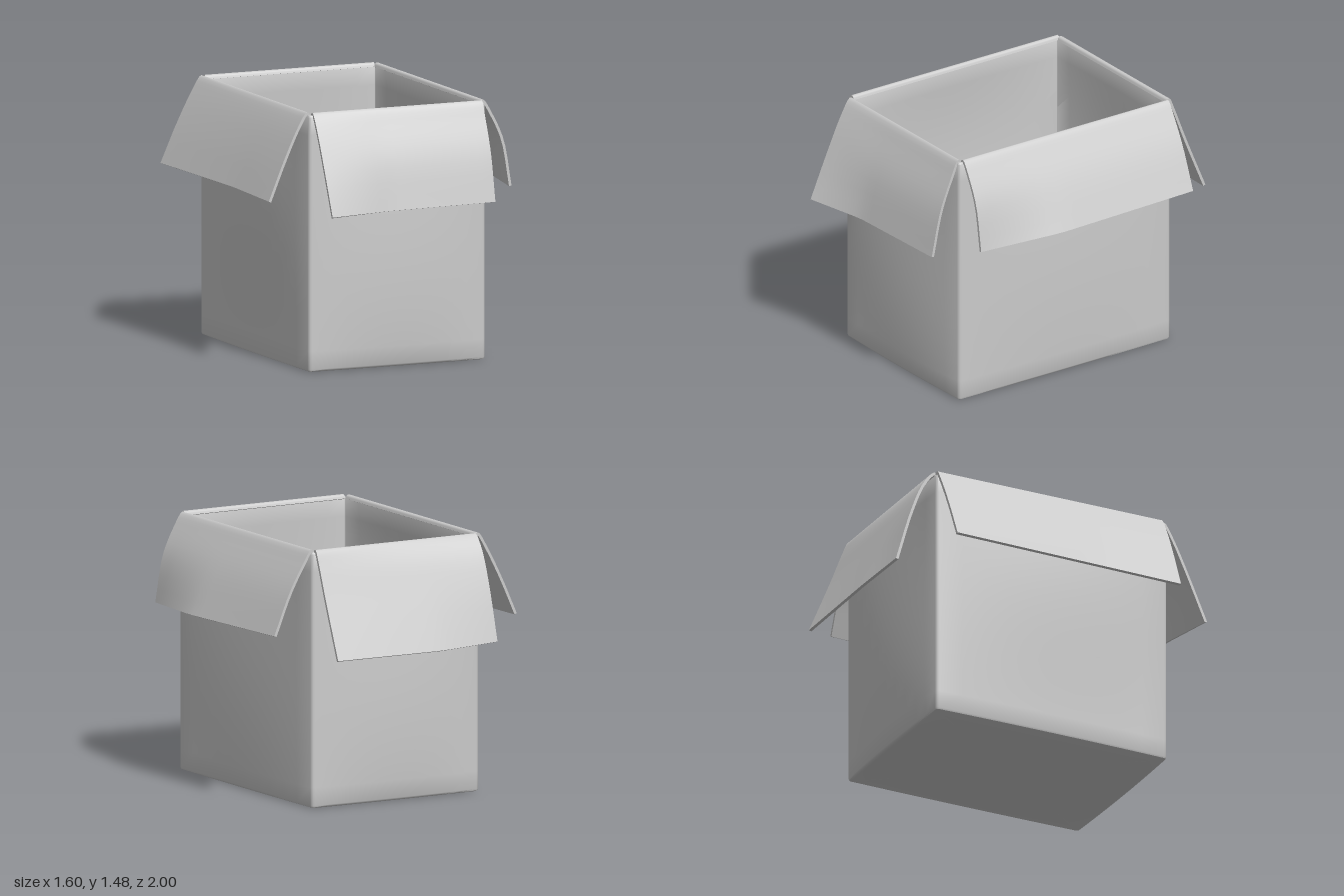
import * as THREE from 'three';
import { toCreasedNormals } from 'three/addons/utils/BufferGeometryUtils.js';

const HEIGHT = 1.47, HALF_X = 0.55, HALF_Z = 0.735, WALL = 0.02, RADIUS = 0.02;
const material = new THREE.MeshStandardMaterial({ color: 0xcccccc, side: THREE.DoubleSide });

// Walls in the order front, left (+x), back, right (-x), a quarter turn apart.
const walls = [
  { name: 'front', out: HALF_Z, half: HALF_X, bulge: 0.035, power: 0.8 },
  { name: 'left', out: HALF_X, half: HALF_Z, bulge: 0.022, power: 0.9 },
  { name: 'back', out: HALF_Z, half: HALF_X, bulge: 0.035, power: 0.8 },
  { name: 'right', out: HALF_X, half: HALF_Z, bulge: 0.035, power: 1.5 },
];

// One rounded, bulging rectangle around the box at height y.
function ring(y, inset, scale = 1) {
  const points = [], up = new THREE.Vector3(0, 1, 0);
  const h = THREE.MathUtils.clamp(y / HEIGHT, 0, 1);
  const r = Math.max(RADIUS - inset, 0.004);
  walls.forEach((w, k) => {
    const S = w.half - inset - r, O = w.out - inset;
    const swell = w.bulge * (Math.sin(Math.PI * h ** w.power) + 0.25 * (1 - h));
    const add = (s, o) => points.push(
      new THREE.Vector3(s * scale, y, o * scale).applyAxisAngle(up, k * Math.PI / 2));
    for (let i = 0; i <= 10; i++) {
      const t = i / 5 - 1;
      add(t * S, O + swell * (1 - t * t));
    }
    for (const a of [Math.PI / 6, Math.PI / 3]) add(S + r * Math.sin(a), O - r + r * Math.cos(a));
  });
  return points;
}

// Box body: underside, outer walls, rim, inner walls and floor in one skin.
function createBody() {
  const rings = [ring(0, WALL, 0), ring(0, 0.014), ring(0.005, 0.004), ring(0.015, 0)];
  const steps = 14;
  for (let i = 1; i <= steps; i++) rings.push(ring(0.015 + (HEIGHT - 0.025) * i / steps, 0));
  rings.push(ring(HEIGHT, 0.006), ring(HEIGHT, WALL - 0.004));
  for (let i = steps; i >= 0; i--) rings.push(ring(WALL + (HEIGHT - 0.01 - WALL) * i / steps, WALL));
  rings.push(ring(WALL, WALL, 0));

  const n = rings[0].length, index = [];
  for (let j = 0; j < rings.length - 1; j++) {
    for (let i = 0; i < n; i++) {
      const a = j * n + i, b = j * n + (i + 1) % n;
      if (j > 0) index.push(a, b, b + n);
      if (j < rings.length - 2) index.push(a, b + n, a + n);
      else index.push(a, b, b + n);
    }
  }
  // The first band is a fan from the centre and needs its outer triangles only.
  const geometry = new THREE.BufferGeometry().setFromPoints(rings.flat());
  geometry.setIndex(index);
  return toCreasedNormals(geometry, 0.7);
}

// A bent flap. Each column is [position along hinge, then (out, y) for
// the upper bend, the middle and the tip].
function createFlap(hinge, columns) {
  const geometry = new THREE.BoxGeometry(1, 1, 1, 16, 18, 1);
  const pos = geometry.attributes.position;
  const first = columns[0][0], last = columns[columns.length - 1][0];
  const columnAt = (s) => {
    let i = 0;
    while (i < columns.length - 2 && s > columns[i + 1][0]) i++;
    const a = columns[i], b = columns[i + 1], t = (s - a[0]) / (b[0] - a[0]);
    return a.map((v, k) => THREE.MathUtils.lerp(v, b[k], t));
  };
  for (let i = 0; i < pos.count; i++) {
    const s = THREE.MathUtils.lerp(first, last, pos.getX(i) + 0.5);
    const [, o1, y1, o2, y2, o3, y3] = columnAt(s);
    const curve = new THREE.CatmullRomCurve3([
      [hinge - 0.02, 1.462], [hinge - 0.012, 1.48], [hinge + 0.005, 1.484],
      [o1, y1], [o2, y2], [o3, y3],
    ].map(([o, y]) => new THREE.Vector3(0, y, o)), false, 'centripetal');
    const v = 0.5 - pos.getY(i);
    const p = curve.getPoint(v), d = curve.getTangent(v);
    const depth = pos.getZ(i) > 0 ? 0 : 0.016;
    pos.setXYZ(i, s, p.y - d.z * depth, p.z + d.y * depth);
  }
  geometry.computeVertexNormals();
  return geometry;
}

// Flap bends, listed like the walls; each flap sags a little differently.
const flaps = [
  [0.725, [[-0.525, 0.79, 1.39, 0.88, 1.2, 1.0, 0.925],
    [-0.15, 0.78, 1.39, 0.86, 1.2, 0.925, 0.925],
    [0.53, 0.775, 1.39, 0.85, 1.2, 0.91, 0.93]]],
  [0.545, [[-0.705, 0.6, 1.41, 0.675, 1.25, 0.725, 0.98],
    [-0.2, 0.6, 1.41, 0.69, 1.25, 0.8, 0.995],
    [0.72, 0.6, 1.41, 0.69, 1.25, 0.79, 1.01]]],
  [0.735, [[-0.53, 0.78, 1.4, 0.85, 1.22, 0.99, 0.885],
    [0.15, 0.8, 1.4, 0.875, 1.22, 1.0, 0.885],
    [0.525, 0.81, 1.4, 0.885, 1.22, 0.98, 0.9]]],
  [0.545, [[-0.73, 0.6, 1.41, 0.7, 1.22, 0.8, 1.0],
    [0.2, 0.6, 1.41, 0.69, 1.22, 0.778, 1.0],
    [0.7, 0.6, 1.41, 0.69, 1.22, 0.785, 0.99]]],
];

export function createModel() {
  const model = new THREE.Group();
  model.name = 'openBox';
  const body = new THREE.Mesh(createBody(), material);
  body.name = 'boxBody';
  model.add(body);
  flaps.forEach(([hinge, columns], k) => {
    const flap = new THREE.Mesh(createFlap(hinge, columns), material);
    flap.name = walls[k].name + 'Flap';
    flap.rotation.y = k * Math.PI / 2;
    model.add(flap);
  });
  return model;
}
